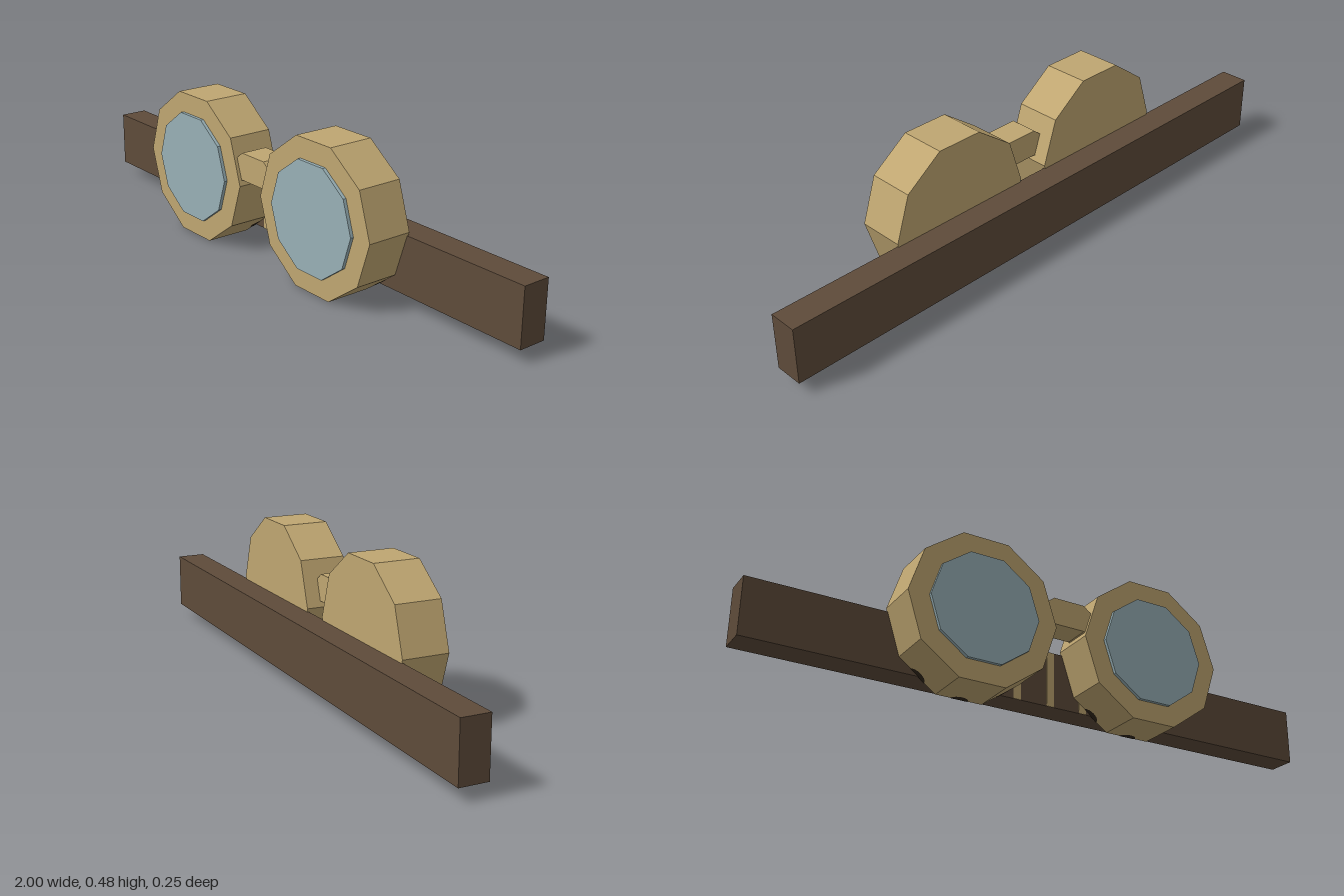
import * as THREE from 'three';

const mat = (name, color) => {
  const m = new THREE.MeshStandardMaterial({ color, flatShading: true });
  m.name = name;
  return m;
};

export function createModel() {
  const tan = mat('tan frame', 0xbfa671);
  const brown = mat('brown strap', 0x5e4b3a);
  const glass = mat('blue glass', 0x98b0b6);
  const dark = mat('dark vent', 0x30261b);
  const model = new THREE.Group();
  model.name = 'goggles';

  const add = (parent, name, geometry, material, x = 0, y = 0, z = 0) => {
    const mesh = new THREE.Mesh(geometry, material);
    mesh.name = name;
    mesh.position.set(x, y, z);
    parent.add(mesh);
    return mesh;
  };

  // Ten-sided disc facing +z with a corner pointing sideways
  const decagon = (radius, depth) =>
    new THREE.CylinderGeometry(radius, radius, depth, 10, 1, false, Math.PI / 2).rotateX(Math.PI / 2);

  // Eyepieces: rim, raised lens and small vents on the underside
  const R = 0.253;
  for (const side of [-1, 1]) {
    const eye = new THREE.Group();
    eye.name = side > 0 ? 'leftEyepiece' : 'rightEyepiece';
    eye.position.set(side * 0.306, 0.241, 0);
    model.add(eye);
    add(eye, 'rim', decagon(R, 0.153), tan, 0, 0, 0.0395);
    add(eye, 'lens', decagon(0.184, 0.014), glass, 0, 0, 0.12);
    for (const degrees of [-54, -90, -126]) {
      const face = new THREE.Group();
      face.name = 'ventMount';
      face.rotation.z = THREE.MathUtils.degToRad(degrees);
      eye.add(face);
      const vent = new THREE.CircleGeometry(0.03, 10, Math.PI / 2, Math.PI);
      vent.scale(0.8, 1, 1).rotateY(Math.PI / 2);
      add(face, 'vent', vent, dark, R * Math.cos(Math.PI / 10) + 0.001, 0, -0.037);
    }
  }

  // Bridge: bevelled block running into both rims
  const arch = new THREE.Shape([
    [-0.055, 0.35], [-0.09, 0.322], [-0.09, 0.235], [-0.055, 0.26],
    [0.055, 0.26], [0.09, 0.235], [0.09, 0.322], [0.055, 0.35],
  ].map(([x, y]) => new THREE.Vector2(x, y)));
  add(model, 'bridge', new THREE.ExtrudeGeometry(arch, { depth: 0.093, bevelEnabled: false }), tan, 0, 0, 0.012);

  // Strap with thin stitched strips on its front
  add(model, 'strap', new THREE.BoxGeometry(2, 0.187, 0.094), brown, 0, 0.1365, -0.079);
  for (const x of [-0.107, 0.013, 0.133]) {
    add(model, 'strapStrip', new THREE.BoxGeometry(0.026, 0.186, 0.003), tan, x, 0.1365, -0.032);
  }
  return model;
}
